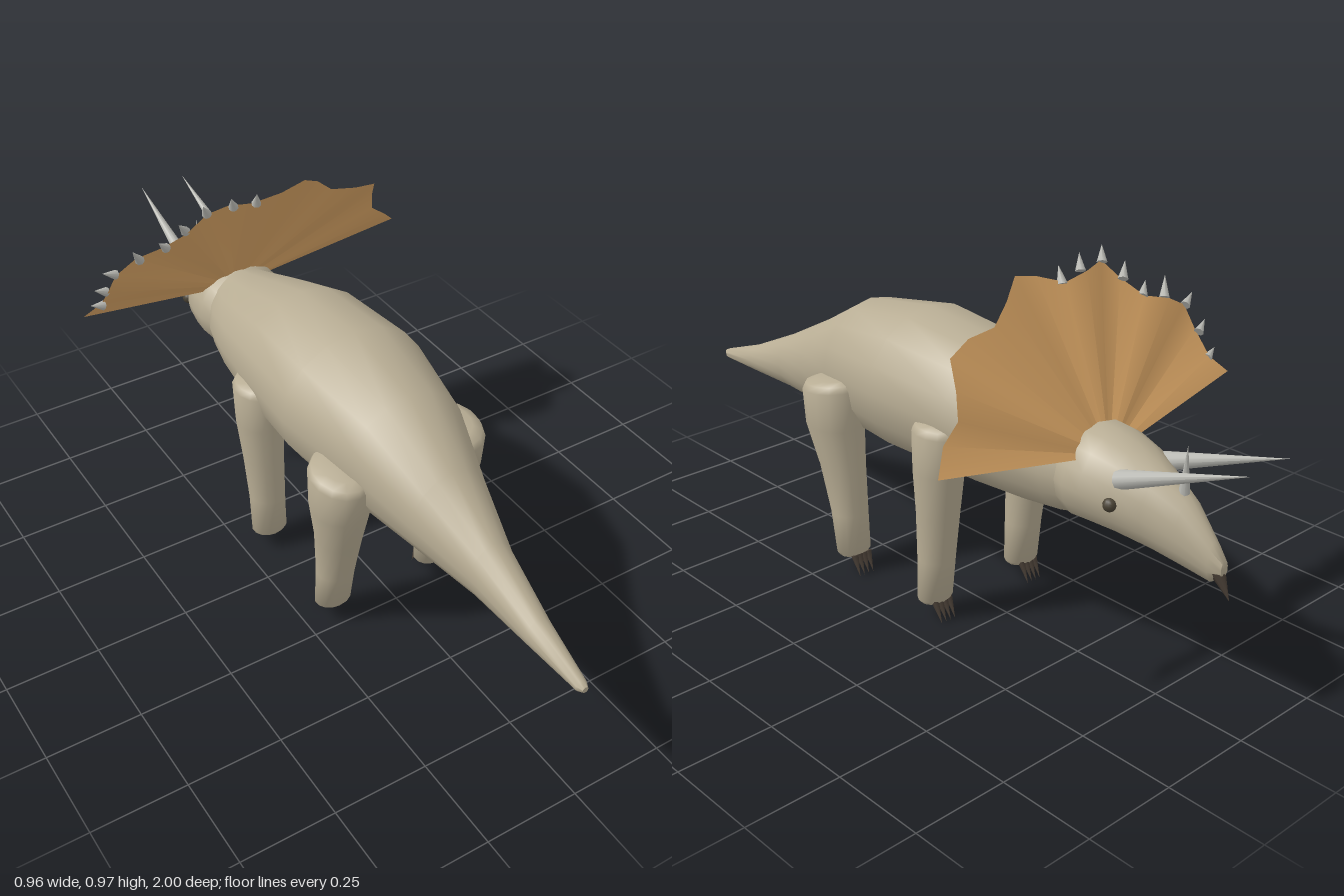
import * as THREE from 'three';
import { toCreasedNormals } from 'three/addons/utils/BufferGeometryUtils.js';

const mat = (name, color, extra = {}) => Object.assign(new THREE.MeshStandardMaterial({ color, ...extra }), { name });
const V = (x, y, z) => new THREE.Vector3(x, y, z);
const CX = -0.015; // the animal's own middle line

// Skin a list of rings (arrays of Vector3, counter-clockwise about the direction of travel), capped at both ends
function loft(rings) {
  const n = rings[0].length, pos = [], idx = [];
  rings.forEach(r => r.forEach(p => pos.push(p.x, p.y, p.z)));
  for (let i = 0; i < rings.length - 1; i++) {
    for (let j = 0; j < n; j++) {
      const a = i * n + j, b = i * n + (j + 1) % n;
      idx.push(a, b, b + n, a, b + n, a + n);
    }
  }
  [0, rings.length - 1].forEach((k, end) => {
    const c = rings[k].reduce((s, p) => s.add(p), V(0, 0, 0)).divideScalar(n);
    const ci = pos.length / 3;
    pos.push(c.x, c.y, c.z);
    for (let j = 0; j < n; j++) {
      const a = k * n + j, b = k * n + (j + 1) % n;
      idx.push(ci, ...(end ? [a, b] : [b, a]));
    }
  });
  const g = new THREE.BufferGeometry();
  g.setAttribute('position', new THREE.Float32BufferAttribute(pos, 3));
  g.setIndex(idx);
  return toCreasedNormals(g, 0.95);
}

// Upright cross-section of the trunk: z, top, bottom, half width, height of the widest point
function trunkRing([z, top, bottom, w, mid], n = 16) {
  return Array.from({ length: n }, (_, j) => {
    const a = j / n * Math.PI * 2, s = Math.sin(a);
    return V(CX + w * Math.cos(a), mid + s * (s > 0 ? top - mid : mid - bottom), z);
  });
}

// Level cross-section of a leg: y, x, z, radius in x, radius in z, slope of the ring along z
function legRing([y, x, z, rx, rz, slope = 0], side, n = 14) {
  return Array.from({ length: n }, (_, j) => {
    const a = j / n * Math.PI * 2, dz = rz * Math.cos(a);
    return V(CX + side * x + rx * Math.sin(a), y + slope * dz, z + dz);
  });
}

// Cone between two points
function spike(name, from, to, radius, material, sides = 8) {
  const d = to.clone().sub(from), len = d.length();
  const m = new THREE.Mesh(new THREE.ConeGeometry(radius, len, sides), material);
  m.name = name;
  m.position.copy(from).addScaledVector(d, 0.5);
  m.quaternion.setFromUnitVectors(V(0, 1, 0), d.normalize());
  return m;
}

export function createModel() {
  const hide = mat('hide', 0xb8ad94);
  const frillMat = mat('frill orange', 0xdca767, { side: THREE.DoubleSide });
  const horn = mat('horn grey', 0xb8b8b2);
  const claw = mat('claw brown', 0x4a4037);
  const eyeMat = mat('eye dark', 0x4a4335);
  const model = new THREE.Group();
  model.name = 'hornedDinosaur';
  const add = (name, geo, material, parent = model) => {
    const m = new THREE.Mesh(geo, material);
    m.name = name;
    parent.add(m);
    return m;
  };

  // Body and tail
  add('body', loft([
    [-0.56, 0.61, 0.40, 0.09, 0.50],
    [-0.46, 0.64, 0.38, 0.135, 0.51],
    [-0.35, 0.68, 0.37, 0.165, 0.53],
    [-0.19, 0.735, 0.362, 0.195, 0.56],
    [0.06, 0.757, 0.358, 0.21, 0.57],
    [0.30, 0.717, 0.36, 0.165, 0.55],
    [0.48, 0.61, 0.36, 0.11, 0.49],
    [0.65, 0.52, 0.36, 0.062, 0.44],
    [0.83, 0.437, 0.355, 0.036, 0.395],
    [0.985, 0.382, 0.352, 0.016, 0.367],
    [1.0, 0.375, 0.359, 0.008, 0.367],
  ].map(r => trunkRing(r))), hide);

  // Head
  const head = new THREE.Group();
  head.name = 'head';
  model.add(head);
  add('skull', loft([
    [-0.905, 0.415, 0.375, 0.012, 0.39],
    [-0.875, 0.45, 0.35, 0.026, 0.40],
    [-0.80, 0.53, 0.362, 0.05, 0.44],
    [-0.72, 0.573, 0.375, 0.078, 0.47],
    [-0.65, 0.605, 0.385, 0.108, 0.49],
    [-0.58, 0.623, 0.388, 0.125, 0.50],
    [-0.53, 0.625, 0.385, 0.13, 0.505],
    [-0.47, 0.60, 0.39, 0.11, 0.505],
  ].map(r => trunkRing(r))), hide, head);
  head.add(spike('beak', V(CX, 0.40, -0.875), V(CX, 0.32, -0.925), 0.024, claw));
  head.add(spike('noseHorn', V(CX, 0.51, -0.78), V(CX, 0.65, -0.783), 0.016, horn));
  for (const s of [1, -1]) {
    head.add(spike('browHorn', V(CX + s * 0.074, 0.545, -0.655), V(CX + s * 0.066, 0.672, -1.0), 0.024, horn, 12));
    const eye = add('eye', new THREE.SphereGeometry(0.017, 12, 8), eyeMat, head);
    eye.position.set(CX + s * 0.102, 0.492, -0.655);
  }

  // Pleated frill fanned out from the neck, leaning back
  const lean = y => -0.55 + (y - 0.57) * 0.53;
  const rim = [
    [0.48, 0.63], [0.43, 0.68], [0.38, 0.72], [0.368, 0.78], [0.345, 0.837], [0.27, 0.858], [0.2, 0.87],
    [0.15, 0.915], [0.09, 0.953], [0.02, 0.938], [-0.05, 0.915], [-0.12, 0.928], [-0.19, 0.935],
    [-0.24, 0.885], [-0.285, 0.84], [-0.36, 0.82], [-0.42, 0.79], [-0.435, 0.73], [-0.437, 0.67], [-0.48, 0.627],
  ];
  const pos = [], idx = [];
  rim.forEach(([x, y], i) => {
    pos.push(CX, 0.55, -0.56);
    pos.push(x, y, lean(y) + Math.sin(i * 1.6) * 0.013);
    if (i) idx.push(2 * i, 2 * i - 1, 2 * i + 1);
  });
  const fan = new THREE.BufferGeometry();
  fan.setAttribute('position', new THREE.Float32BufferAttribute(pos, 3));
  fan.setIndex(idx);
  fan.computeVertexNormals();
  add('frill', fan, frillMat);

  // Spikes along the right half of the rim: base x, y, tip x, y
  [
    [-0.04, 0.912, -0.048, 0.952], [-0.11, 0.927, -0.125, 0.965], [-0.187, 0.932, -0.205, 0.968],
    [-0.237, 0.885, -0.264, 0.922], [-0.283, 0.838, -0.31, 0.869], [-0.354, 0.82, -0.382, 0.867],
    [-0.417, 0.79, -0.457, 0.813], [-0.434, 0.725, -0.47, 0.747], [-0.434, 0.665, -0.472, 0.682],
  ].forEach(([x, y, tx, ty]) =>
    model.add(spike('frillSpike', V(x, y, lean(y)), V(tx, ty, lean(ty)), 0.013, horn)));

  // Legs, bottom to top, with four claws each
  const legs = {
    hindLeg: {
      rings: [
        [0.05, 0.155, 0.203, 0.042, 0.032], [0.06, 0.155, 0.204, 0.05, 0.039], [0.17, 0.155, 0.217, 0.05, 0.05],
        [0.30, 0.158, 0.237, 0.058, 0.066], [0.42, 0.165, 0.256, 0.074, 0.083],
        [0.52, 0.165, 0.26, 0.076, 0.09, -0.12], [0.537, 0.163, 0.26, 0.07, 0.083, -0.12], [0.546, 0.16, 0.258, 0.05, 0.06, -0.12],
      ], toe: 0.172, tip: 0.15,
    },
    frontLeg: {
      rings: [
        [0.046, 0.155, -0.128, 0.042, 0.032], [0.056, 0.155, -0.128, 0.05, 0.039], [0.17, 0.155, -0.134, 0.05, 0.048],
        [0.30, 0.157, -0.142, 0.055, 0.057], [0.42, 0.16, -0.148, 0.063, 0.068],
        [0.525, 0.16, -0.15, 0.064, 0.075], [0.542, 0.158, -0.15, 0.058, 0.068], [0.55, 0.155, -0.15, 0.04, 0.05],
      ], toe: -0.153, tip: -0.18,
    },
  };
  for (const [name, { rings, toe, tip }] of Object.entries(legs)) {
    for (const s of [1, -1]) {
      const leg = new THREE.Group();
      leg.name = name;
      model.add(leg);
      add('limb', loft(rings.map(r => legRing(r, s))), hide, leg);
      for (let i = 0; i < 4; i++) {
        const x = CX + s * 0.155 + (i - 1.5) * 0.015;
        leg.add(spike('claw', V(x, 0.056, toe), V(x, 0, tip), 0.01, claw, 6));
      }
    }
  }
  return model;
}
